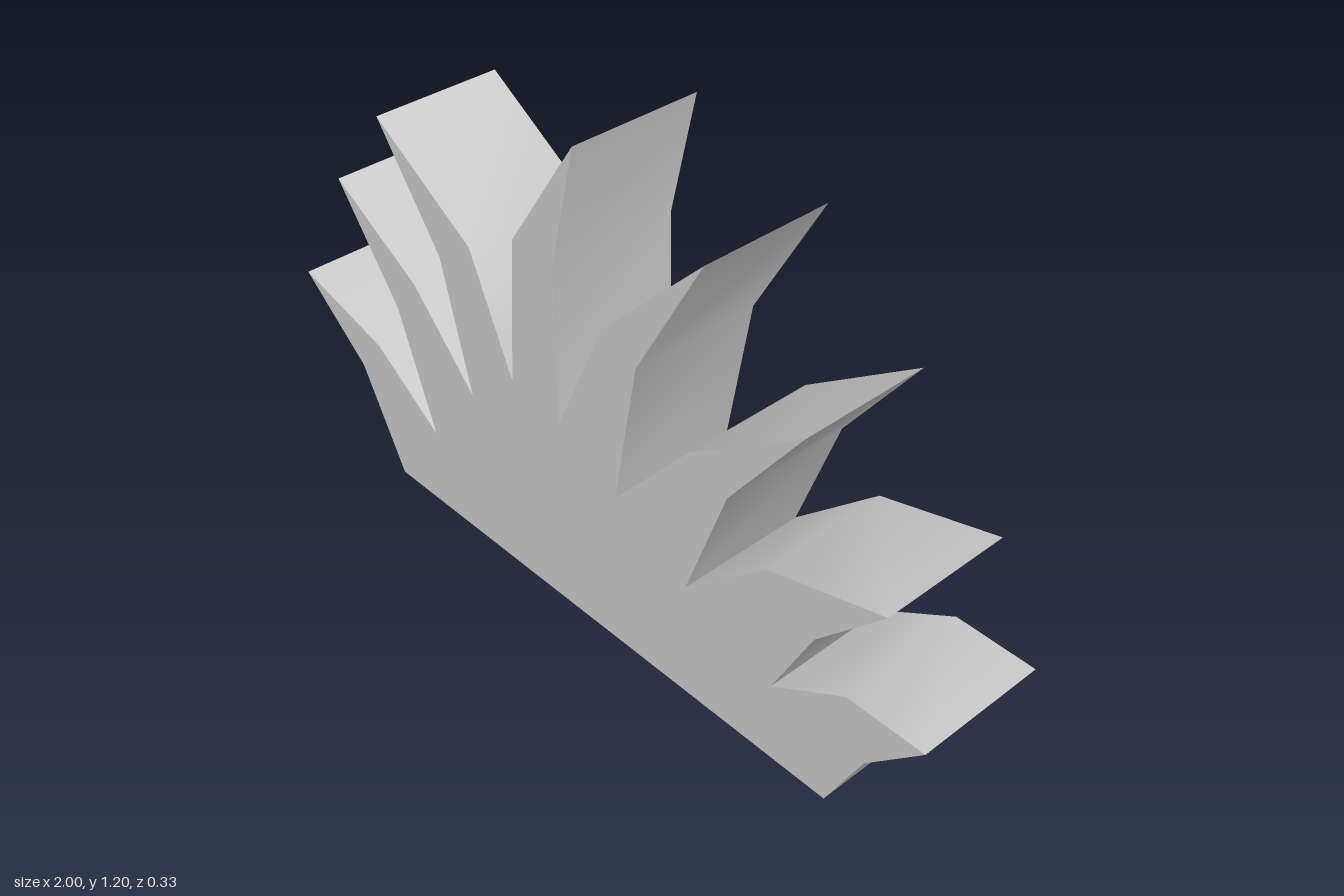
import * as THREE from 'three';
import { toCreasedNormals } from 'three/addons/utils/BufferGeometryUtils.js';

const DEPTH = 0.33;

// Each blade: lower bend, tip, upper bend, then the notch before the next blade
const BLADES = [
  [[0.86, 0.18], [1, 0.318], [0.8, 0.318], [0.606, 0.2]],
  [[0.71, 0.405], [0.88, 0.582], [0.575, 0.497], [0.353, 0.298]],
  [[0.462, 0.605], [0.65, 0.86], [0.355, 0.657], [0.135, 0.403]],
  [[0.198, 0.775], [0.382, 1.105], [0.098, 0.82], [-0.045, 0.498]],
  [[-0.053, 0.89], [0.017, 1.2], [-0.18, 0.9], [-0.2, 0.528]],
  [[-0.33, 0.81], [-0.638, 1.003], [-0.44, 0.735], [-0.348, 0.405]],
  [[-0.545, 0.61], [-0.817, 0.77], [-0.62, 0.51], [-0.503, 0.208]],
  [[-0.715, 0.352], [-1, 0.426], [-0.79, 0.255]],
];

export function createModel() {
  const group = new THREE.Group();
  group.name = 'grassTuft';

  // Flat base edge, then the fan of blades counter-clockwise
  const outline = [[-0.652, 0], [0.768, 0], ...BLADES.flat()];
  const shape = new THREE.Shape(outline.map(([x, y]) => new THREE.Vector2(x, y)));

  // Thick slab; gentle bends in the blades are smooth, tips and notches sharp
  const slab = new THREE.ExtrudeGeometry(shape, { depth: DEPTH, bevelEnabled: false });
  slab.translate(0, 0, -DEPTH / 2);
  const material = new THREE.MeshStandardMaterial({ color: 0xcccccc });
  const tuft = new THREE.Mesh(toCreasedNormals(slab, 0.7), material);
  tuft.name = 'bladeFan';
  group.add(tuft);
  return group;
}
